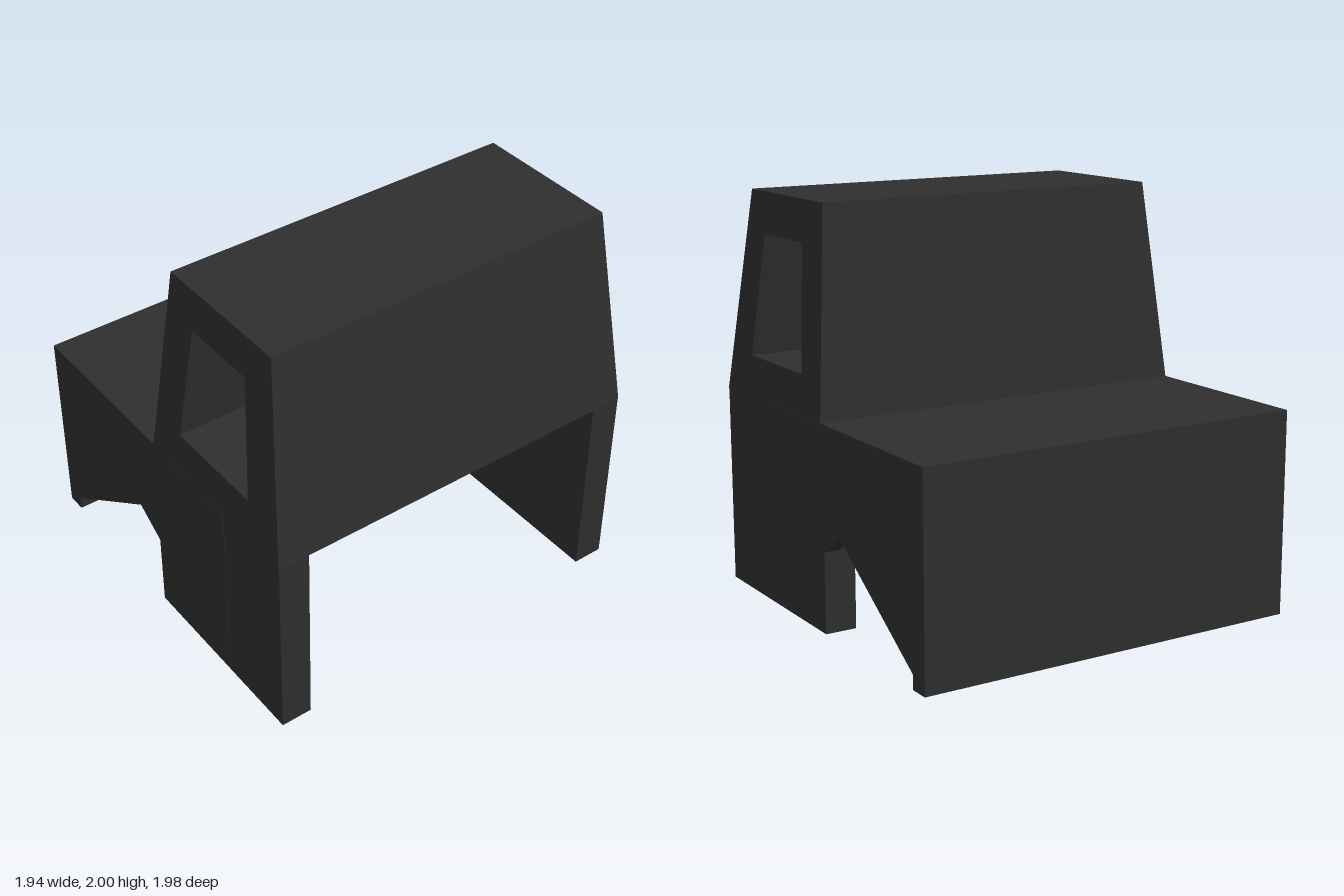
import * as THREE from 'three';

const polygon = (points) => points.map(([x, y]) => new THREE.Vector2(x, y));

export function createModel() {
  const group = new THREE.Group();
  group.name = 'cabBody';
  const charcoal = new THREE.MeshStandardMaterial({ color: 0x2f2f2f });
  charcoal.name = 'charcoal';

  function add(name, geometry) {
    const mesh = new THREE.Mesh(geometry, charcoal);
    mesh.name = name;
    group.add(mesh);
    return mesh;
  }

  // Box given by its low and high corners
  function box(name, [x0, y0, z0], [x1, y1, z1]) {
    const geometry = new THREE.BoxGeometry(x1 - x0, y1 - y0, z1 - z0);
    geometry.translate((x0 + x1) / 2, (y0 + y1) / 2, (z0 + z1) / 2);
    return add(name, geometry);
  }

  // Tapered cab with a window opening running straight through it
  const cabShape = new THREE.Shape(polygon([[-0.04, 0.99], [0.97, 0.99], [0.82, 2], [0.07, 2]]));
  cabShape.holes.push(new THREE.Path(polygon([[0.18, 1.2], [0.25, 1.8], [0.65, 1.8], [0.72, 1.2]])));
  const cab = new THREE.ExtrudeGeometry(cabShape, { depth: 1, bevelEnabled: false });
  const position = cab.attributes.position;
  for (let i = 0; i < position.count; i++) {
    const halfWidth = 0.99 - 0.09 * (position.getY(i) - 1);
    position.setZ(i, position.getZ(i) > 0.5 ? halfWidth : -halfWidth);
  }
  cab.computeVertexNormals();
  add('cab', cab);

  // Hollow hood: thin lid and an upright end wall
  box('hoodLid', [-0.97, 0.99, -0.99], [0.54, 1.01, 0.99]);
  box('hoodEndWall', [-0.97, 0, -0.99], [-0.87, 1.0, 0.99]);

  // Side panels with the pointed wheel notch
  const panelShape = new THREE.Shape(polygon([
    [-0.97, 0], [-0.87, 0], [-0.87, 0.07], [-0.21, 0.505], [0.54, 0.01], [0.54, 1.0], [-0.97, 1.0],
  ]));
  for (const [name, z, depth] of [['leftSidePanel', 0.97, 0.02], ['rightSidePanel', -0.99, 0.08]]) {
    const panel = new THREE.ExtrudeGeometry(panelShape, { depth, bevelEnabled: false });
    panel.translate(0, 0, z);
    add(name, panel);
  }

  // Thick walls carrying the cab
  box('frontCabWall', [-0.05, 0, 0.83], [0.97, 0.99, 0.988]);
  box('backCabWall', [-0.05, 0, -0.988], [0.97, 0.99, -0.83]);

  return group;
}
